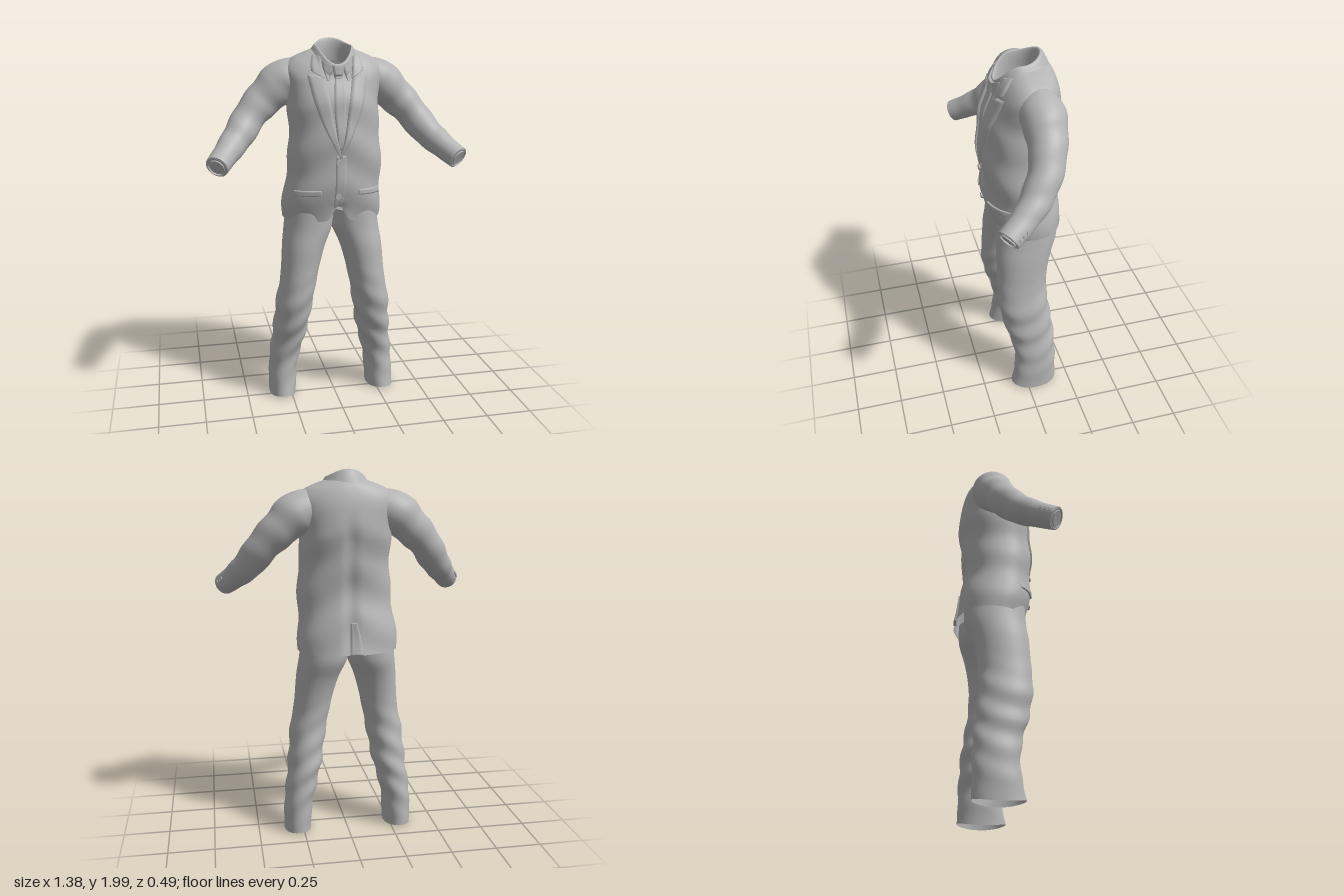
import * as THREE from 'three';

const cloth = new THREE.MeshStandardMaterial({ color: 0xb4b4b4, side: THREE.DoubleSide });
cloth.name = 'grey cloth';

// Skin a list of point rings; closed rings wrap around
function skin(name, rings, closed = true) {
  const n = rings[0].length, index = [];
  for (let j = 0; j < rings.length - 1; j++)
    for (let i = 0; i < (closed ? n : n - 1); i++) {
      const k = (i + 1) % n, a = j * n + i, b = a + n, c = j * n + k, d = c + n;
      index.push(a, b, c, c, b, d);
    }
  const geo = new THREE.BufferGeometry().setFromPoints(rings.flat());
  geo.setIndex(index);
  geo.computeVertexNormals();
  const mesh = new THREE.Mesh(geo, cloth);
  mesh.name = name;
  return mesh;
}

// Smooth interpolation through rows of numbers
function sample(rows, t) {
  const f = t * (rows.length - 1), i = Math.min(Math.floor(f), rows.length - 2), u = f - i;
  const at = k => rows[Math.max(0, Math.min(rows.length - 1, k))];
  return rows[0].map((_, c) => {
    const p0 = at(i - 1)[c], p1 = at(i)[c], p2 = at(i + 1)[c], p3 = at(i + 2)[c];
    return p1 + 0.5 * u * (p2 - p0 + u * (2 * p0 - 5 * p1 + 4 * p2 - p3 + u * (3 * (p1 - p2) + p3 - p0)));
  });
}

// Loft through sections [yFront, ySide, yBack, centreX, halfWidth, zFront, zBack]
function loft(name, rows, { steps = 60, segs = 80, power = 2.3, tweak } = {}) {
  const rings = [];
  const pw = v => Math.sign(v) * Math.pow(Math.abs(v), 2 / power);
  for (let j = 0; j <= steps; j++) {
    const [yF, yS, yB, cx, hw, zF, zB] = sample(rows, j / steps), ring = [];
    for (let i = 0; i < segs; i++) {
      const a = i / segs * Math.PI * 2, s = Math.sin(a), c = Math.cos(a);
      const p = new THREE.Vector3(cx + hw * pw(c), yS + ((s > 0 ? yF : yB) - yS) * s * s,
        (zF + zB) / 2 + (zF - zB) / 2 * pw(s));
      if (tweak) tweak(p, c, s);
      ring.push(p);
    }
    rings.push(ring);
  }
  return skin(name, rings);
}
const flat = (y, ...rest) => [y, y, y, ...rest];

// Round tube of changing radius along a curve
function sleeveTube(name, points, radii, steps, crease) {
  const curve = new THREE.CatmullRomCurve3(points), fr = curve.computeFrenetFrames(steps), rings = [];
  for (let j = 0; j <= steps; j++) {
    const t = j / steps, o = curve.getPoint(t), ring = [];
    const k = Math.round(curve.getUtoTmapping(0, 0) + t * steps);
    const [r] = sample(radii, t);
    for (let i = 0; i < 32; i++) {
      const a = i / 32 * Math.PI * 2, rr = r + crease * Math.sin(t * 34 + 2 * Math.cos(a)) * Math.sin(t * Math.PI);
      ring.push(o.clone().addScaledVector(fr.normals[k], rr * Math.cos(a)).addScaledVector(fr.binormals[k], -rr * Math.sin(a)));
    }
    rings.push(ring);
  }
  return skin(name, rings);
}

export function createModel() {
  const model = new THREE.Group();
  const V = (x, y, z) => new THREE.Vector3(x, y, z);

  // Jacket body, from hem to neck, with soft folds, a seam and a cut-away front hem
  const body = loft('jacketBody', [
    flat(1.05, -0.008, 0.27, 0.14, -0.245),
    flat(1.13, -0.008, 0.268, 0.158, -0.235),
    flat(1.22, -0.005, 0.262, 0.17, -0.218),
    flat(1.32, 0.003, 0.253, 0.178, -0.203),
    flat(1.42, 0.006, 0.25, 0.18, -0.198),
    flat(1.52, 0.004, 0.243, 0.18, -0.208),
    flat(1.62, 0, 0.24, 0.173, -0.222),
    flat(1.69, 0, 0.245, 0.16, -0.226),
    [1.75, 1.77, 1.77, 0, 0.258, 0.137, -0.222],
    [1.79, 1.845, 1.84, 0, 0.262, 0.118, -0.21],
    [1.815, 1.895, 1.89, 0, 0.225, 0.108, -0.195],
    [1.83, 1.925, 1.925, 0, 0.165, 0.104, -0.178],
    [1.84, 1.943, 1.945, 0, 0.115, 0.1, -0.16],
  ], {
    steps: 80, segs: 112, tweak: (p, c, s) => {
      const fade = Math.min(1, Math.max(0, (1.8 - p.y) / 0.15));
      const fold = 0.005 * fade * Math.sin(p.y * 26 + 5 * Math.abs(p.x) * 3 + 2 * p.x);
      p.x += fold * c;
      p.z += fold * s;
      if (s < 0) p.z += 0.012 * Math.exp(-((p.x / 0.03) ** 2)) * fade;
      if (s > 0 && p.y < 1.16) p.y += 0.09 * Math.exp(-((p.x / 0.04) ** 2)) * (1.16 - p.y) / 0.11;
    },
  });

  // Jacket collar folding over into the shirt neckband
  const collar = loft('collar', [
    [1.815, 1.915, 1.925, 0, 0.135, 0.116, -0.175],
    [1.84, 1.94, 1.965, 0, 0.116, 0.113, -0.158],
    [1.868, 1.962, 1.997, 0, 0.1, 0.108, -0.138],
    [1.87, 1.96, 1.995, 0, 0.09, 0.096, -0.122],
    [1.84, 1.92, 1.95, 0, 0.086, 0.086, -0.115],
    [1.79, 1.86, 1.88, 0, 0.088, 0.08, -0.118],
  ], { steps: 30, segs: 64, power: 2.1 });
  model.add(body, collar);

  // Find the surface depth at (x, y), looking from the front (1) or the back (-1)
  const ray = new THREE.Raycaster();
  const depth = (x, y, side) => {
    ray.set(V(x, y, 2 * side), V(0, 0, -side));
    const hit = ray.intersectObjects([body, collar])[0];
    return hit ? hit.point.z : null;
  };

  // Cloth strip between two edges, draped over the body with its rim tucked in
  function drape(name, edgeA, edgeB, lift, side = 1, rows = 16) {
    const [A, B] = [edgeA, edgeB].map(e => new THREE.SplineCurve(e.map(p => new THREE.Vector2(...p))));
    const cols = [0, 0, 0.25, 0.5, 0.75, 1, 1], rings = [];
    let last = 0.1 * side;
    for (let j = -1; j <= rows + 1; j++) {
      const t = Math.min(1, Math.max(0, j / rows)), a = A.getPoint(t), b = B.getPoint(t);
      rings.push(cols.map((u, i) => {
        const q = a.clone().lerp(b, u), z = depth(q.x, q.y, side);
        if (z !== null && z * side > 0.02) last = z;
        const rim = i === 0 || i === cols.length - 1 || j < 0 || j > rows;
        return V(q.x, q.y, last + side * (rim ? -0.006 : lift));
      }));
    }
    const mesh = skin(name, rings, false);
    model.add(mesh);
    return mesh;
  }

  // Necktie: knot and blade
  drape('tieKnot', [[-0.032, 1.868], [-0.018, 1.8]], [[0.032, 1.868], [0.018, 1.8]], 0.014);
  drape('tieBlade', [[-0.017, 1.805], [-0.03, 1.65], [-0.012, 1.44]], [[0.017, 1.805], [0.03, 1.65], [0.012, 1.44]], 0.006);

  for (const s of [1, -1]) {
    const m = pts => pts.map(([x, y]) => [x * s, y]);
    const side = s > 0 ? 'left' : 'right';
    // Shirt collar point, jacket collar leaf and lapel
    drape(side + 'ShirtCollar', m([[0.02, 1.862], [0.035, 1.825], [0.05, 1.79]]), m([[0.08, 1.89], [0.075, 1.85], [0.055, 1.79]]), 0.009);
    drape(side + 'CollarLeaf', m([[0.085, 1.91], [0.08, 1.86], [0.07, 1.8]]), m([[0.12, 1.92], [0.135, 1.875], [0.135, 1.84]]), 0.012);
    drape(side + 'Lapel', m([[0.075, 1.81], [0.05, 1.68], [0.028, 1.54], [-0.005, 1.4]]),
      m([[0.158, 1.825], [0.128, 1.68], [0.075, 1.54], [0.003, 1.4]]), 0.012, 1, 24);
    // Hip pocket flap
    drape(side + 'PocketFlap', m([[0.1, 1.228], [0.235, 1.222]]), m([[0.1, 1.2], [0.235, 1.192]]), 0.009);

    // Sleeve, turned in at the wrist
    const pts = [[0.17, 1.805, -0.065], [0.26, 1.778, -0.073], [0.345, 1.705, -0.068], [0.43, 1.618, -0.045],
      [0.51, 1.51, 0.02], [0.575, 1.44, 0.1], [0.637, 1.381, 0.195]].map(p => V(p[0] * s, p[1], p[2]));
    const arm = new THREE.Group();
    arm.name = side + 'Sleeve';
    arm.add(sleeveTube('sleeve', pts, [[0.1], [0.113], [0.1], [0.088], [0.08], [0.068], [0.06]], 48, 0.003));
    const end = pts[6], dir = end.clone().sub(pts[5]).normalize();
    const along = (d) => end.clone().addScaledVector(dir, d);
    arm.add(sleeveTube('cuffHem', [along(0), along(0.004), along(-0.02), along(-0.08)], [[0.06], [0.052], [0.047], [0.045]], 12, 0));
    arm.add(sleeveTube('shirtCuff', [along(-0.05), along(-0.02), along(0.008)], [[0.043], [0.043], [0.043]], 6, 0));
    // Sleeve buttons on the outer back of the wrist
    const out = V(s * 0.9, 0.1, -0.45);
    out.addScaledVector(dir, -out.dot(dir)).normalize();
    for (let i = 0; i < 3; i++) {
      const b = new THREE.Mesh(new THREE.CylinderGeometry(0.009, 0.009, 0.01, 14), cloth);
      b.name = 'sleeveButton';
      b.position.copy(along(-0.025 - i * 0.025)).addScaledVector(out, 0.062 + i * 0.002);
      b.quaternion.setFromUnitVectors(V(0, 1, 0), out);
      arm.add(b);
    }
    model.add(arm);

    // Trouser leg with creased cloth
    const legRow = (y, inner, outer, zF, zB) => flat(y, s * (inner + outer) / 2 - 0.008, (outer - inner) / 2, zF, zB);
    model.add(loft(side + 'TrouserLeg', [
      [0.025, 0.008, 0.022, s * 0.288 - 0.008, 0.075, 0.088, -0.175],
      legRow(0.1, 0.208, 0.362, 0.072, -0.173),
      legRow(0.2, 0.198, 0.357, 0.062, -0.173),
      legRow(0.3, 0.172, 0.345, 0.072, -0.17),
      legRow(0.4, 0.148, 0.333, 0.1, -0.163),
      legRow(0.5, 0.13, 0.324, 0.127, -0.15),
      legRow(0.6, 0.113, 0.314, 0.143, -0.136),
      legRow(0.7, 0.095, 0.293, 0.144, -0.133),
      legRow(0.8, 0.072, 0.284, 0.14, -0.142),
      legRow(0.9, 0.042, 0.276, 0.138, -0.165),
      legRow(1.0, 0, 0.262, 0.13, -0.2),
      legRow(1.1, -0.01, 0.25, 0.128, -0.205),
    ], {
      segs: 48, steps: 66, power: 2.15, tweak: (p, c, q) => {
        const low = Math.max(0, 1 - Math.abs(p.y - 0.4) / 0.4);
        const fold = 0.006 * low * Math.sin(p.y * 42 + 3 * c * s + 1.5 * q);
        p.x += fold * c;
        p.z += fold * q;
      },
    }));
  }

  // Overlapping front edge and its two buttons
  drape('frontEdge', [[-0.022, 1.41], [-0.026, 1.25], [-0.03, 1.13]], [[0.03, 1.41], [0.028, 1.25], [0.01, 1.14]], 0.005);
  for (const y of [1.375, 1.195]) {
    const b = new THREE.Mesh(new THREE.CylinderGeometry(0.015, 0.016, 0.012, 20), cloth);
    b.name = 'frontButton';
    b.rotation.x = Math.PI / 2;
    b.position.set(-0.01, y, depth(-0.01, y, 1) + 0.008);
    model.add(b);
  }

  // Back vent flap
  drape('backVent', [[0.002, 1.22], [0.004, 1.14], [0.008, 1.052]], [[-0.03, 1.22], [-0.05, 1.14], [-0.06, 1.052]], 0.01, -1);
  return model;
}
